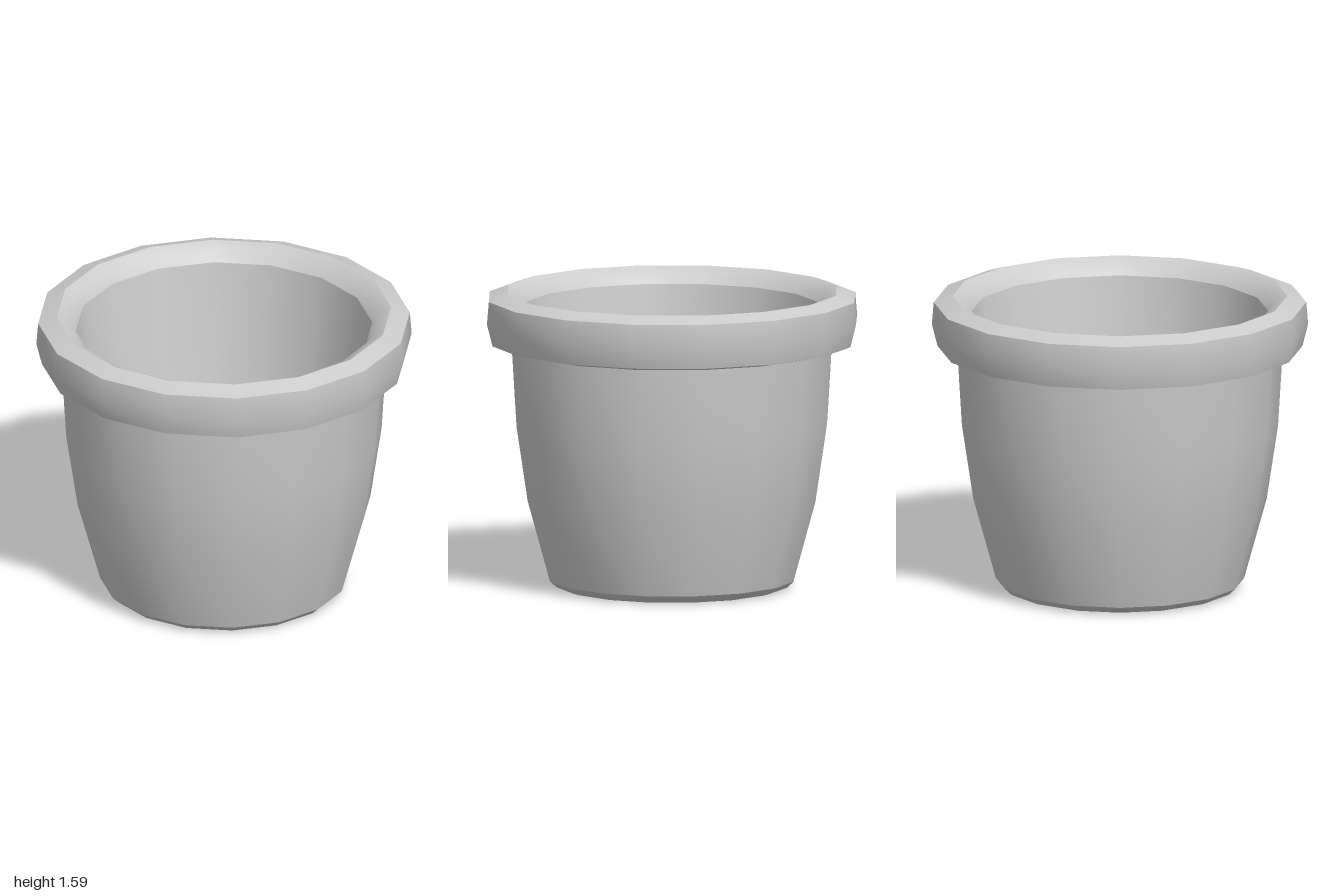
import * as THREE from 'three';
import { toCreasedNormals } from 'three/addons/utils/BufferGeometryUtils.js';

const SIDES = 16;
const material = new THREE.MeshStandardMaterial({ color: 0xcccccc, side: THREE.DoubleSide });

// Turns a [radius, height] profile into a faceted ring with sharp creases.
function turned(name, profile) {
  const points = profile.map(([r, y]) => new THREE.Vector2(r, y));
  const geometry = toCreasedNormals(new THREE.LatheGeometry(points, SIDES), 0.54);
  const mesh = new THREE.Mesh(geometry, material);
  mesh.name = name;
  return mesh;
}

export function createModel() {
  const pot = new THREE.Group();
  pot.name = 'flowerPot';

  // Flat underside
  pot.add(turned('base', [[0, 0], [0.585, 0]]));

  // Small bevel at the foot, then the gently bulging outer wall
  pot.add(turned('outerWall', [
    [0.585, 0], [0.625, 0.012], [0.66, 0.045],
    [0.78, 0.48], [0.84, 0.88], [0.865, 1.293],
  ]));

  // Overhanging collar, rolled over to the inner lip
  pot.add(turned('rim', [
    [0.865, 1.293], [0.89, 1.316], [0.97, 1.316], [1, 1.435],
    [0.99, 1.555], [0.89, 1.59], [0.83, 1.56], [0.79, 1.505],
  ]));

  // Straight tapering inside
  pot.add(turned('innerWall', [[0.79, 1.505], [0.575, 0.07]]));

  // Inside floor
  pot.add(turned('floor', [[0.575, 0.07], [0, 0.07]]));

  return pot;
}
